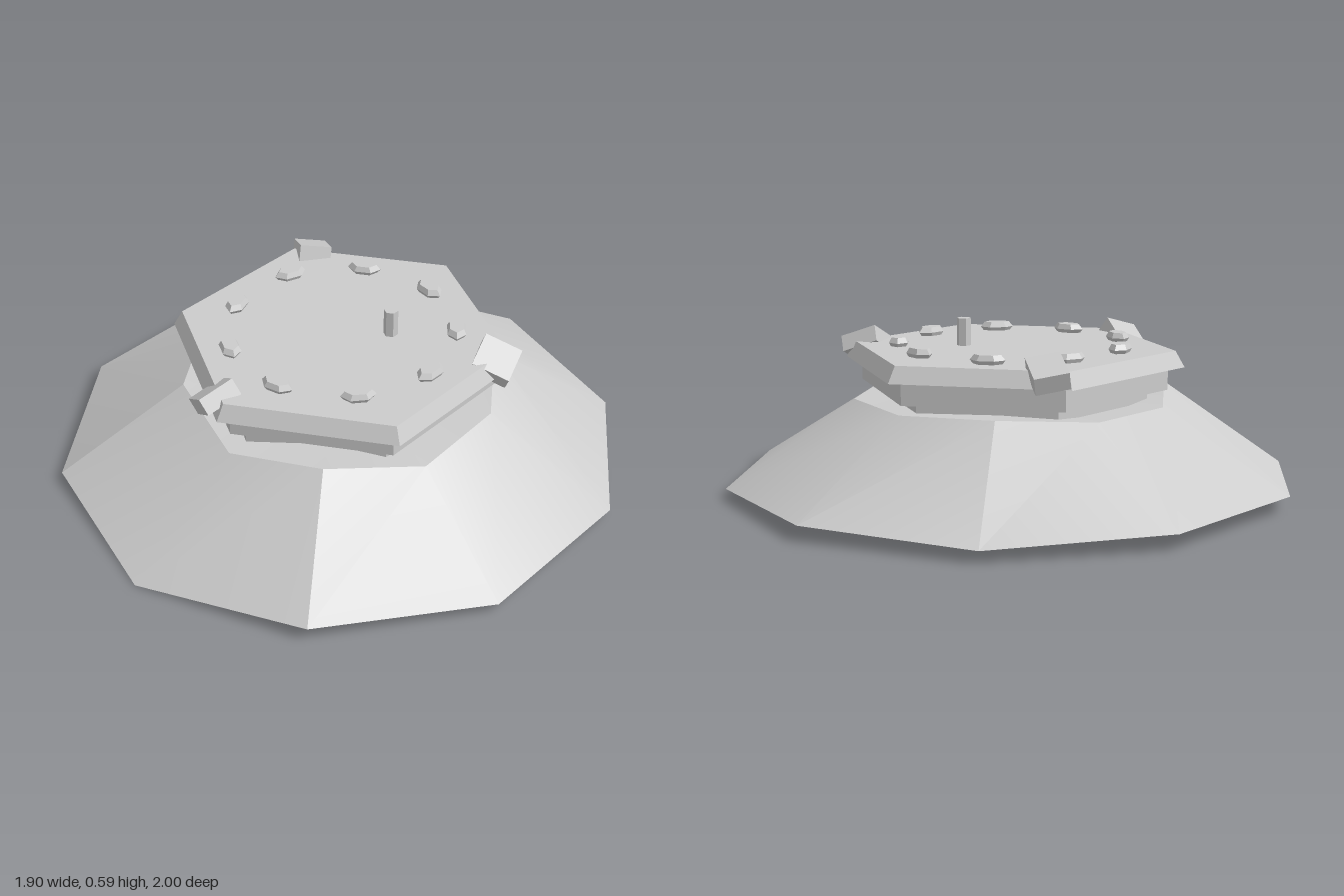
import * as THREE from 'three';
import { toCreasedNormals } from 'three/addons/utils/BufferGeometryUtils.js';

export function createModel() {
  const model = new THREE.Group();
  model.name = 'hatch';
  const paleGrey = new THREE.MeshStandardMaterial({ color: 0xcccccc });
  paleGrey.name = 'paleGrey';

  const add = (name, geometry, x = 0, y = 0, z = 0, crease = 0.3) => {
    const mesh = new THREE.Mesh(toCreasedNormals(geometry, crease), paleGrey);
    mesh.name = name;
    mesh.position.set(x, y, z);
    model.add(mesh);
    return mesh;
  };

  // Ten-sided mound with uneven rims, closed above and below
  const lowerY = [0, 0.05, 0.035, 0.035, 0.035, 0.05, 0.04, 0.055, 0.055, 0.035];
  const upperY = [0.285, 0.33, 0.285, 0.31, 0.33, 0.33, 0.34, 0.32, 0.32, 0.35];
  const sides = lowerY.length;
  const rimPoint = (radius, heights, k) => {
    const a = (k / sides) * Math.PI * 2;
    return [radius * Math.sin(a), heights[k % sides], radius * Math.cos(a)];
  };
  const points = [];
  for (let k = 0; k < sides; k++) {
    const b0 = rimPoint(1, lowerY, k), b1 = rimPoint(1, lowerY, k + 1);
    const t0 = rimPoint(0.555, upperY, k), t1 = rimPoint(0.555, upperY, k + 1);
    points.push(...b0, ...b1, ...t1, ...b0, ...t1, ...t0);
    points.push(0, 0.3, 0, ...t0, ...t1);
    points.push(0, 0.035, 0, ...b1, ...b0);
  }
  const mound = new THREE.BufferGeometry();
  mound.setAttribute('position', new THREE.Float32BufferAttribute(points, 3));
  add('mound', mound, 0, 0, 0, 0.37);

  // Stacked hexagonal neck, collar and bevelled lid
  const hexagon = (name, topRadius, bottomRadius, y0, y1) =>
    add(name, new THREE.CylinderGeometry(topRadius, bottomRadius, y1 - y0, 6), 0, (y0 + y1) / 2, 0);
  hexagon('neck', 0.475, 0.475, 0.25, 0.36);
  hexagon('collar', 0.545, 0.545, 0.36, 0.44);
  hexagon('lid', 0.57, 0.602, 0.44, 0.496);

  // Nine flattened bolts, long side along the ring
  const boltProfile = [[0, -0.018], [0.045, -0.018], [0.06, 0], [0.045, 0.018], [0, 0.018]]
    .map(([r, y]) => new THREE.Vector2(r, y));
  for (let i = 0; i < 9; i++) {
    const a = (i / 9) * Math.PI * 2;
    const bolt = new THREE.LatheGeometry(boltProfile, 6);
    bolt.scale(0.62, 1, 1);
    add('bolt', bolt, 0.395 * Math.cos(a), 0.509, 0.395 * Math.sin(a)).rotation.y = -a;
  }

  // Short hexagonal pin
  add('pin', new THREE.CylinderGeometry(0.025, 0.025, 0.1, 6), 0.137, 0.542, -0.1);

  // Three crooked clamps: centre, outward direction, sideways direction, size
  const clamps = [
    [[-0.075, 0.47, 0.535], [-0.03, -0.035, 0.12], [0.11, 0.08, 0.01], [0.13, 0.06, 0.13]],
    [[-0.44, 0.49, -0.325], [-0.11, -0.05, -0.08], [-0.07, 0.02, 0.09], [0.115, 0.06, 0.14]],
    [[0.49, 0.48, -0.23], [0.13, -0.05, -0.06], [-0.03, 0.055, -0.11], [0.125, 0.06, 0.135]],
  ];
  for (const [centre, outward, sideways, size] of clamps) {
    const z = new THREE.Vector3(...outward).normalize();
    const y = z.clone().cross(new THREE.Vector3(...sideways)).normalize();
    const x = y.clone().cross(z);
    const clamp = add('clamp', new THREE.BoxGeometry(...size), ...centre);
    clamp.quaternion.setFromRotationMatrix(new THREE.Matrix4().makeBasis(x, y, z));
  }
  return model;
}
